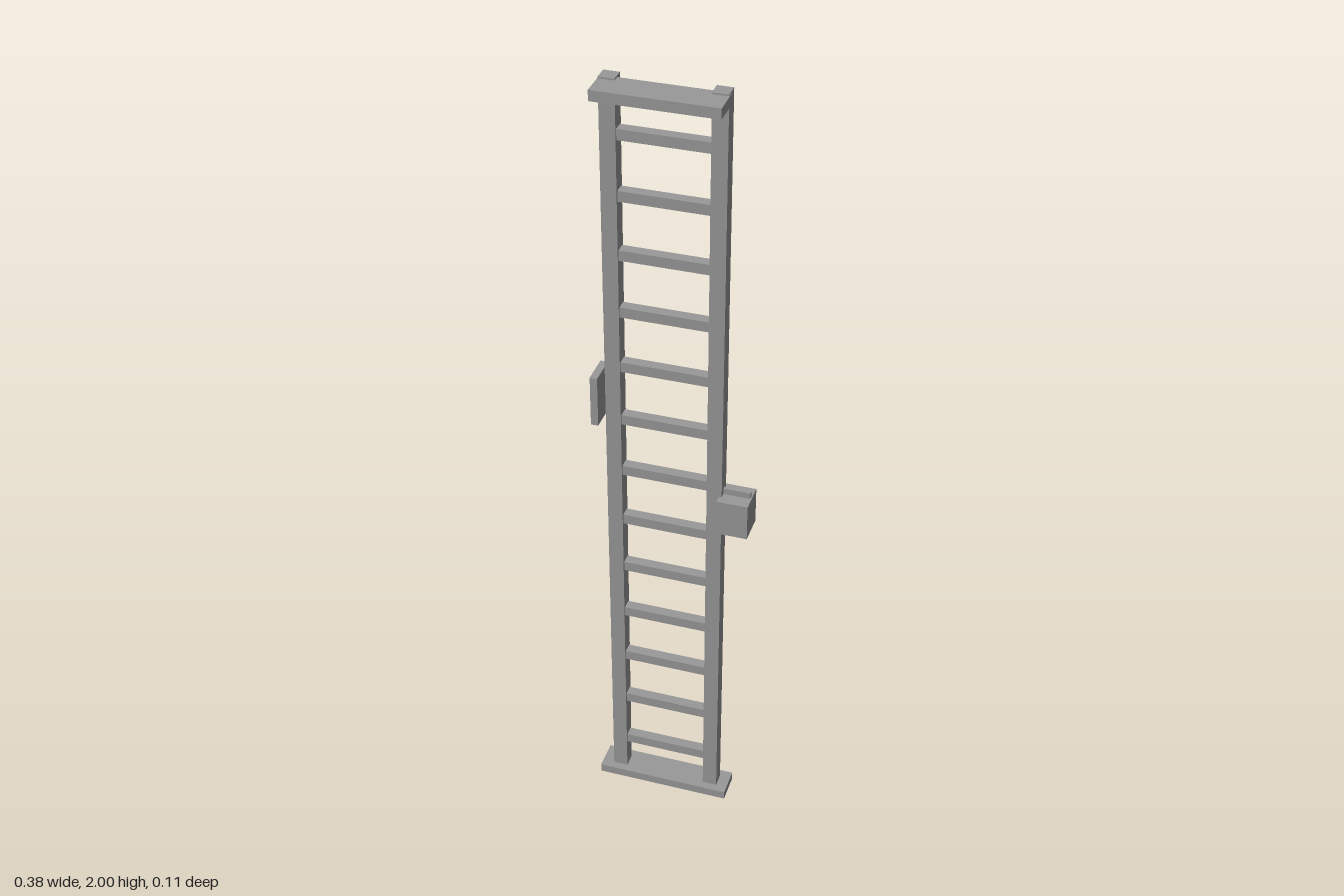
import * as THREE from 'three';

export function createModel() {
  const model = new THREE.Group();
  model.name = 'ladder';
  const greyMetal = new THREE.MeshStandardMaterial({ color: 0x999999 });
  greyMetal.name = 'greyMetal';

  // Box given by its lower and upper limits on each axis
  function block(name, [x0, x1], [y0, y1], [z0, z1]) {
    const mesh = new THREE.Mesh(new THREE.BoxGeometry(x1 - x0, y1 - y0, z1 - z0), greyMetal);
    mesh.position.set((x0 + x1) / 2, (y0 + y1) / 2, (z0 + z1) / 2);
    mesh.name = name;
    model.add(mesh);
  }

  const mid = -0.021; // depth of the ladder's centre plane
  const around = (half) => [mid - half, mid + half];

  // Foot plate and the two upright rails
  block('footPlate', [-0.192, 0.15], [0, 0.023], around(0.038));
  block('rightRail', [-0.162, -0.125], [0.02, 2], around(0.018));
  block('leftRail', [0.085, 0.122], [0.02, 2], around(0.018));

  // Thirteen evenly spaced rungs
  for (let i = 0; i < 13; i++) {
    const y = 0.118 + i * 0.1461;
    block('rung' + (i + 1), [-0.126, 0.086], [y - 0.013, y + 0.013], around(0.013));
  }

  // Shelf-like top bar projecting forwards
  block('topBar', [-0.163, 0.123], [1.971, 1.996], [mid, 0.055]);

  // Side plate standing just off the right rail
  block('sidePlate', [-0.192, -0.174], [1.13, 1.26], around(0.038));

  // Box on the left rail with a thin ridge on top
  block('sideBox', [0.115, 0.191], [0.88, 0.974], around(0.038));
  block('boxRidge', [0.115, 0.188], [0.974, 0.99], around(0.004));

  return model;
}
